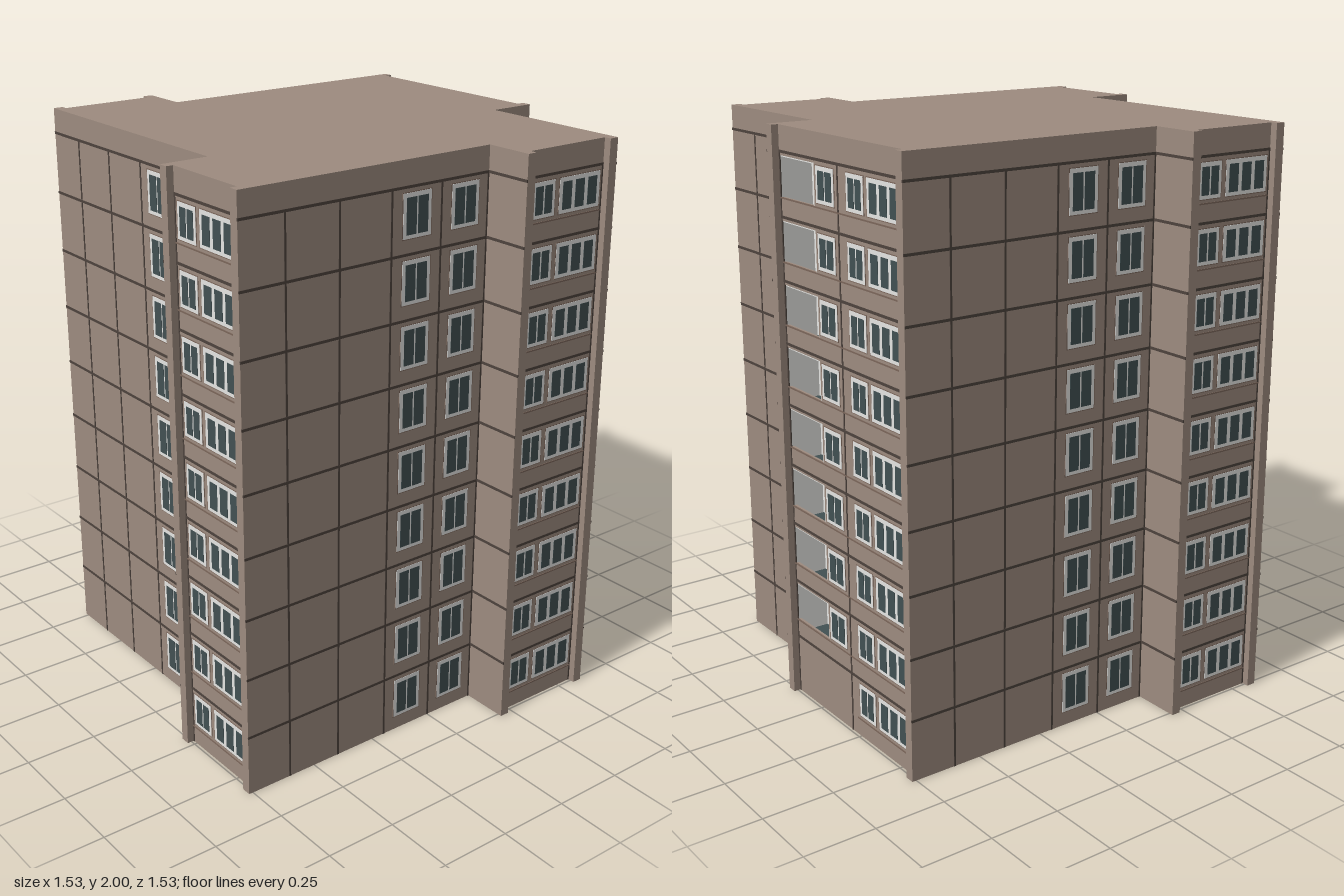
import * as THREE from 'three';

const mat = (name, color) => Object.assign(new THREE.MeshStandardMaterial({ color }), { name });

// Plan dimensions: wall plane, fin face, bay face, bay inner edge, fin width
const A = 0.595, E = 0.765, R = 0.74, I = 0.197, W = 0.034;
const FLOORS = 9, H = 1.915 / FLOORS, TOP = 2;
const BAL = { x0: -I + W, x1: 0.055, depth: 0.12, floor: 0.008, rail: 0.064, head: 0.2 };

// Pinwheel outline: one projecting bay per side, the rear one wider and notched for balconies
function outline() {
  const pts = [];
  for (let k = 0; k < 4; k++) {
    const s = k === 2 ? -I : I;
    const side = [[s, A], [s, E], [s + W, E], [s + W, R]];
    if (k === 2) side.push([BAL.x0, R - BAL.depth], [BAL.x1, R - BAL.depth], [BAL.x1, R]);
    side.push([A - W, R], [A - W, E], [A, E]);
    for (let [x, z] of side) {
      for (let j = 0; j < k; j++) [x, z] = [z, -x];
      pts.push(new THREE.Vector2(x, -z));
    }
  }
  return pts;
}

export function createModel() {
  const wall = mat('wall concrete', 0x9e8c80);
  const seam = mat('dark seam', 0x4e443e);
  const white = mat('white paint', 0xe6e6e4);
  const glass = mat('window glass', 0x425153);
  const ledge = mat('ledge brown', 0x7d685c);

  const model = new THREE.Group();
  model.name = 'apartmentBlock';

  const box = (parent, name, m, x0, x1, y0, y1, z0, z1) => {
    const mesh = new THREE.Mesh(new THREE.BoxGeometry(x1 - x0, y1 - y0, z1 - z0), m);
    mesh.name = name;
    mesh.position.set((x0 + x1) / 2, (y0 + y1) / 2, (z0 + z1) / 2);
    parent.add(mesh);
  };

  // Window: thin surround, white frame and a row of panes
  const windowUnit = (parent, x0, x1, y0, y1, z, panes, rim, gap) => {
    const g = new THREE.Group();
    g.name = 'window';
    parent.add(g);
    box(g, 'windowSurround', ledge, x0 - 0.003, x1 + 0.003, y0 - 0.003, y1 + 0.003, z - 0.002, z + 0.001);
    box(g, 'windowFrame', white, x0, x1, y0, y1, z - 0.002, z + 0.002);
    const w = (x1 - x0 - 2 * rim - (panes - 1) * gap) / panes;
    for (let i = 0; i < panes; i++) {
      const x = x0 + rim + i * (w + gap);
      box(g, 'windowPane', glass, x, x + w, y0 + 0.012, y1 - 0.014, z, z + 0.003);
    }
  };

  // Main body
  const bodyGeo = new THREE.ExtrudeGeometry(new THREE.Shape(outline()), { depth: TOP, bevelEnabled: false });
  const body = new THREE.Mesh(bodyGeo.rotateX(-Math.PI / 2), wall);
  body.name = 'body';
  model.add(body);

  // Four sides, each modelled facing +z and then turned into place
  for (let k = 0; k < 4; k++) {
    const side = new THREE.Group();
    side.name = ['frontSide', 'rightSide', 'backSide', 'leftSide'][k];
    side.rotation.y = k * Math.PI / 2;
    model.add(side);
    const rear = k === 2;
    const start = rear ? -I : I;

    // Upright joints between wall panels
    const vertical = (x, z, t) =>
      box(side, 'panelSeam', seam, x - t / 2, x + t / 2, 0, FLOORS * H, z - 0.002, z + 0.0015);
    for (const x of rear ? [-0.6, -0.4] : [-0.6, -0.4, -0.2, 0]) vertical(x, A, 0.007);
    vertical(start - 0.003, A, 0.006);
    vertical(start + W + 0.003, R, 0.006);
    vertical(A - W - 0.003, R, 0.006);
    if (rear) vertical(I, R, 0.007);

    // Floor joints on the wall, the bay front and the bay's inner cheek; the fin fronts stay plain
    for (let f = 1; f <= FLOORS; f++) {
      const y0 = f * H - 0.0045, y1 = f * H + 0.0045;
      box(side, 'floorSeam', seam, -E, start, y0, y1, A - 0.002, A + 0.002);
      box(side, 'floorSeam', seam, start + W, A - W, y0, y1, R - 0.002, R + 0.002);
      box(side, 'floorSeam', seam, start - 0.002, start + 0.002, y0, y1, A, E);
    }

    for (let f = 0; f < FLOORS; f++) {
      const y = f * H;
      // Flat wall windows
      for (const x of rear ? [-0.355] : [-0.156, 0.042])
        windowUnit(side, x, x + 0.113, y + 0.05, y + 0.194, A, 2, 0.013, 0.006);
      // Bay windows above a ledge
      windowUnit(side, 0.248, 0.345, y + 0.077, y + 0.194, R, 2, 0.012, 0.007);
      windowUnit(side, 0.366, 0.548, y + 0.077, y + 0.194, R, 3, 0.014, 0.016);
      box(side, 'bayLedge', ledge, rear && f > 0 ? start + W : I + W, A - W, y + 0.06, y + 0.065, R - 0.002, R + 0.002);
      if (rear && f > 0)
        windowUnit(side, 0.068, 0.174, y + 0.077, y + 0.194, R, 2, 0.012, 0.007);
    }

    if (rear) {
      // Recessed balconies: white lining, slabs between storeys and a thin solid parapet
      const { x0, x1, depth, floor, rail, head } = BAL, back = R - depth, t = 0.004;
      box(side, 'balconyBackWall', white, x0, x1, H, FLOORS * H, back, back + t);
      box(side, 'balconySideWall', white, x0, x0 + t, H, FLOORS * H, back, R - 0.001);
      box(side, 'balconySideWall', white, x1 - t, x1, H, FLOORS * H, back, R - 0.001);
      for (let f = 0; f < FLOORS; f++) {
        const bottom = f === 0 ? 0 : f * H + head;
        const last = f === FLOORS - 1;
        const top = last ? TOP : (f + 1) * H + floor;
        box(side, 'balconySlab', wall, x0, x1, bottom, top, back, R);
        if (f > 0) box(side, 'balconyCeiling', white, x0, x1, bottom - t, bottom, back, R - 0.002);
        if (!last) {
          box(side, 'balconyFloor', glass, x0, x1, top, top + t, back, R - 0.012);
          box(side, 'balconyParapet', wall, x0, x1, top, (f + 1) * H + rail, R - 0.012, R);
        }
      }
    }
  }
  return model;
}
